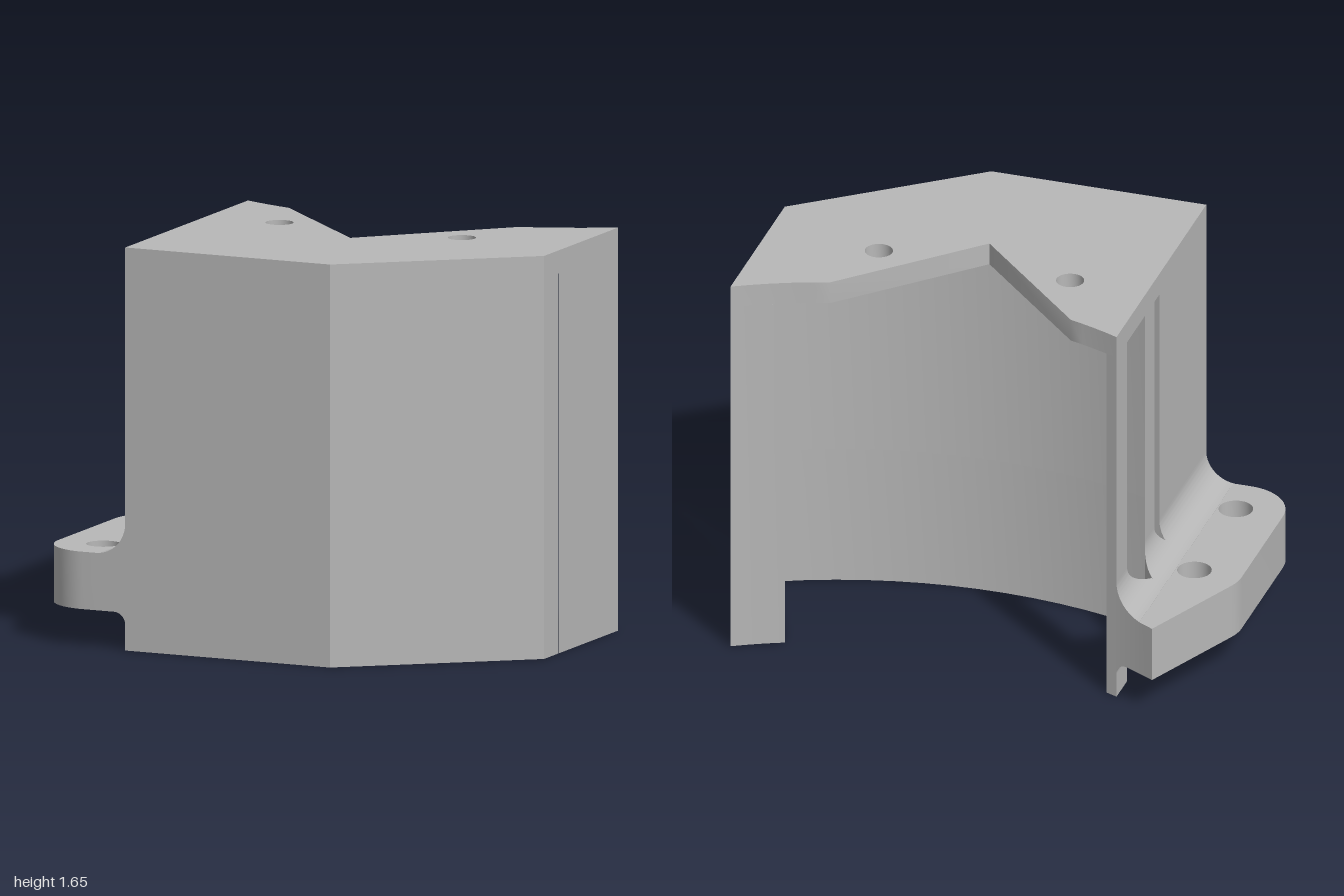
import * as THREE from 'three';
import { toCreasedNormals } from 'three/addons/utils/BufferGeometryUtils.js';

const MID = 0.12;    // x of the mirror line of cavity and notch
const SIDE = -0.61;  // plane of the wall that carries the flange
const HEIGHT = 1.65, CEILING = 1.555;

// Plan curves, z as a function of x
const backZ = x => -2.17 + Math.sqrt(3.186 - (x - MID) ** 2);
const cavityZ = x => -1.93 + Math.sqrt(4.3264 - (x - MID) ** 2);
const cheekZ = x => -0.52 + (-0.56 - x) * 2.34;
const bossHalf = x => Math.sqrt(Math.max(0, 0.04 - (x + 0.8) ** 2));

// Points along a plan curve from x0 to x1
function along(f, x0, x1, n) {
  return Array.from({ length: n + 1 }, (_, i) => {
    const x = x0 + (x1 - x0) * i / n;
    return [x, f(x)];
  });
}

// Points along a circular arc in plan
function arc(cx, cz, r, a0, a1, n) {
  return Array.from({ length: n + 1 }, (_, i) => {
    const a = a0 + (a1 - a0) * i / n;
    return [cx + r * Math.cos(a), cz + r * Math.sin(a)];
  });
}

// Upright prism from a plan outline [x, z] with round holes [x, z, r]
function prism(points, y0, y1, holes = []) {
  const shape = new THREE.Shape(points.map(([x, z]) => new THREE.Vector2(x, -z)));
  for (const [x, z, r] of holes) {
    const ring = arc(x, -z, r, 0, Math.PI * 2, 32).slice(0, 32);
    shape.holes.push(new THREE.Path(ring.map(p => new THREE.Vector2(...p))));
  }
  const geo = new THREE.ExtrudeGeometry(shape, { depth: y1 - y0, bevelEnabled: false });
  geo.rotateX(-Math.PI / 2);
  geo.translate(0, y0, 0);
  return toCreasedNormals(geo, 0.5);
}

export function createModel() {
  const model = new THREE.Group();
  model.name = 'mountingBracket';
  const grey = new THREE.MeshStandardMaterial({ color: 0xb8b8b8 });
  grey.name = 'grey';
  const add = (name, geo) => {
    const mesh = new THREE.Mesh(geo, grey);
    mesh.name = name;
    model.add(mesh);
  };

  // Front body with curved inner wall; blind holes rise from the base
  const body = [
    [SIDE, 0.63], [0.3, 0.63], [1, 0.09],
    ...along(cavityZ, 1, SIDE, 14),
  ];
  const holeTop = 0.6;
  add('lowerBody', prism(body, 0, holeTop,
    [[0.457, 0.343, 0.063], [0.189, 0.393, 0.063], [-0.352, 0.393, 0.063]]));
  add('upperBody', prism(body, holeTop, CEILING));

  // Wedge posts at both ends of the cavity
  add('leftPost', prism([[1, -0.052], ...along(backZ, 1, 0.8, 3)], 0, CEILING));
  add('rightPost', prism([[SIDE, cheekZ(SIDE)], ...along(backZ, SIDE, -0.56, 2)], 0, CEILING));

  // Slim rib between the two wall slots
  const ribAngle = Math.acos(0.19 / 0.2);
  add('slotRib', prism(arc(-0.8, -0.11, 0.2, -ribAngle, ribAngle, 8), 0, CEILING));

  // Top plate with V notch and two screw holes
  add('topPlate', prism([
    [SIDE, 0.63], [0.3, 0.63], [1, 0.09],
    ...along(backZ, 1, 0.63, 5),
    [MID, 0.05],
    ...along(backZ, -0.39, SIDE, 4),
  ], CEILING, HEIGHT, [[-0.285, -0.145, 0.057], [0.525, -0.145, 0.057]]));

  // Flange plate with two bolt holes
  const inner = -0.725;
  add('flange', prism([
    [inner, 0.63],
    ...arc(-0.8, 0.43, 0.2, Math.PI / 2, Math.PI, 14),
    ...arc(-0.8, -0.11, 0.2, Math.PI, Math.PI + 0.412, 5),
    ...along(backZ, -0.79, inner, 2),
  ], 0.155, 0.39, [[-0.8, -0.11, 0.07], [-0.8, 0.43, 0.07]]));

  // Filleted flange root, cut by the cavity into three stretches
  const topY = x => 0.52 - Math.sqrt(Math.max(0, 0.0169 - (x + 0.74) ** 2));
  const bottomY = x => x < -0.66 ? 0.155
    : 0.105 + Math.sqrt(Math.max(0, 0.0025 - (x + 0.66) ** 2));
  const bossBack = x => -0.11 - bossHalf(x);
  const bossFront = x => -0.11 + bossHalf(x);
  const stretches = [
    ['rootBack', backZ, x => Math.min(cheekZ(x), bossBack(x))],
    ['rootMiddle', bossBack, bossFront],
    ['rootFront', x => Math.max(cavityZ(x), bossFront(x)), () => 0.63],
  ];
  for (const [name, zBack, zFront] of stretches) {
    const geo = new THREE.BoxGeometry(1, 1, 1, 28, 1, 1);
    const pos = geo.attributes.position;
    for (let i = 0; i < pos.count; i++) {
      // Ease the columns toward the wall, where the fillets are steepest
      const u = Math.sin((pos.getX(i) + 0.5) * Math.PI / 2);
      const x = inner + (SIDE - inner) * u;
      const y = pos.getY(i) > 0 ? topY(x) : bottomY(x);
      const z = pos.getZ(i) > 0 ? zFront(x) : zBack(x);
      pos.setXYZ(i, x, y, z);
    }
    add(name, toCreasedNormals(geo, 0.6));
  }

  return model;
}
